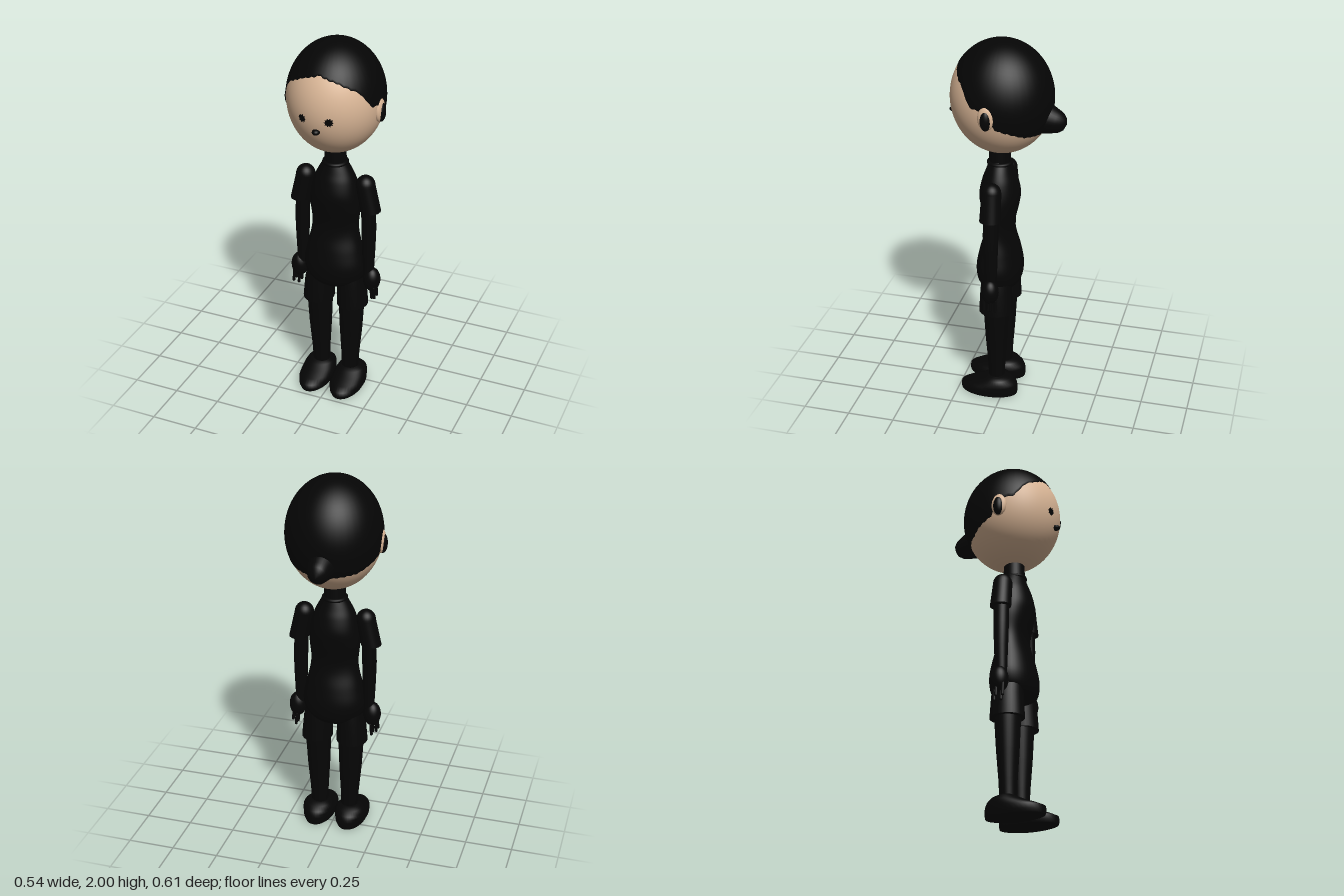
import * as THREE from 'three';

const black = new THREE.MeshStandardMaterial({ color: 0x050505 });
black.name = 'black';
const skin = new THREE.MeshStandardMaterial({ color: 0xdcb898 });
skin.name = 'skin';

// Head ellipsoid: centre and radii
const HC = new THREE.Vector3(0, 1.705, 0.027);
const HR = new THREE.Vector3(0.246, 0.293, 0.262);

// Closed rings of points, listed from top to bottom, joined into a smooth skin
function grid(rows, segs, point) {
  const pos = [], idx = [];
  for (let i = 0; i < rows; i++) {
    for (let j = 0; j < segs; j++) pos.push(...point(i, (j / segs) * Math.PI * 2));
  }
  for (let i = 0; i < rows - 1; i++) {
    for (let j = 0; j < segs; j++) {
      const a = i * segs + j, b = i * segs + ((j + 1) % segs);
      const c = a + segs, d = b + segs;
      idx.push(a, c, d, a, d, b);
    }
  }
  const g = new THREE.BufferGeometry();
  g.setAttribute('position', new THREE.Float32BufferAttribute(pos, 3));
  g.setIndex(idx);
  g.computeVertexNormals();
  return g;
}

// Elliptical cross-sections [y, cx, cz, rx, rz]; a repeated row makes a sharp edge
function loft(rows, segs = 32) {
  return grid(rows.length, segs, (i, a) => {
    const [y, cx, cz, rx, rz] = rows[i];
    return [cx + rx * Math.sin(a), y, cz + rz * Math.cos(a)];
  });
}

function add(parent, name, geometry, material, x = 0, y = 0, z = 0) {
  const m = new THREE.Mesh(geometry, material);
  m.name = name;
  m.position.set(x, y, z);
  parent.add(m);
  return m;
}

function ball(parent, name, material, x, y, z, rx, ry, rz) {
  const m = add(parent, name, new THREE.SphereGeometry(1, 32, 24), material, x, y, z);
  m.scale.set(rx, ry, rz);
  return m;
}

// Hairline height by angle from the front, in degrees
const hairline = [[0, 1.888], [25, 1.86], [51, 1.81], [60, 1.765], [67, 1.72], [82, 1.71],
  [90, 1.66], [96, 1.615], [132, 1.56], [180, 1.54]];

function hairGeometry() {
  const rows = 26, k = 1.012;
  return grid(rows, 128, (i, a) => {
    const deg = THREE.MathUtils.radToDeg(a > Math.PI ? Math.PI * 2 - a : a);
    let n = 1;
    while (n < hairline.length - 1 && hairline[n][0] < deg) n++;
    const [d0, y0] = hairline[n - 1], [d1, y1] = hairline[n];
    const y = THREE.MathUtils.mapLinear(deg, d0, d1, y0, y1) + 0.003 * Math.sin(deg * 0.7);
    const end = Math.acos((y - HC.y) / (HR.y * k));
    // The last row tucks the rim into the head
    const s = i === rows - 1 ? 0.985 : k;
    const t = end * Math.max(0.001, Math.min(1, i / (rows - 2)));
    return [HR.x * s * Math.sin(t) * Math.sin(a), HC.y + HR.y * s * Math.cos(t),
      HC.z + HR.z * s * Math.sin(t) * Math.cos(a)];
  });
}

// Small round eye with a spiky lash edge, laid on the face
function eye(parent, name, x, y) {
  const s = new THREE.Shape();
  for (let i = 0; i < 20; i++) {
    const r = i % 2 ? 0.017 : 0.025, a = (i / 20) * Math.PI * 2;
    s[i ? 'lineTo' : 'moveTo'](r * Math.cos(a), r * Math.sin(a));
  }
  const u = x / HR.x, v = (y - HC.y) / HR.y, w = Math.sqrt(1 - u * u - v * v);
  const normal = new THREE.Vector3(u / HR.x, v / HR.y, w / HR.z).normalize();
  const p = new THREE.Vector3(x, y, HC.z + w * HR.z).addScaledVector(normal, 0.003);
  const m = add(parent, name, new THREE.ShapeGeometry(s), black, p.x, p.y, p.z);
  m.lookAt(p.clone().add(normal));
}

function buildHead(g) {
  const head = add(g, 'head', new THREE.SphereGeometry(1, 64, 48), skin, HC.x, HC.y, HC.z);
  head.scale.copy(HR);
  add(g, 'hair', hairGeometry(), black);

  // Short ponytail at the back
  const profile = [[0.085, 0], [0.073, 0.045], [0.062, 0.075], [0.052, 0.1], [0.032, 0.121], [0, 0.13]];
  const tail = add(g, 'ponytail',
    new THREE.LatheGeometry(profile.map(p => new THREE.Vector2(...p)), 32), black, 0, 1.612, -0.178);
  tail.rotation.x = -Math.PI / 2 - 0.22;
  tail.scale.x = 0.92;

  eye(g, 'leftEye', 0.067, 1.672);
  eye(g, 'rightEye', -0.072, 1.672);
  ball(g, 'nose', black, 0, 1.61, 0.279, 0.02, 0.015, 0.022);
  for (const s of [1, -1]) {
    const side = s > 0 ? 'left' : 'right';
    ball(g, side + 'Ear', skin, s * 0.238, 1.675, 0.047, 0.022, 0.064, 0.042);
    ball(g, side + 'EarInner', black, s * 0.245, 1.665, 0.047, 0.025, 0.053, 0.028);
  }
}

function buildTorso(g) {
  add(g, 'neck', new THREE.CylinderGeometry(0.055, 0.058, 0.13, 32), black, 0, 1.37, 0.038);
  const collar = add(g, 'collar', new THREE.TorusGeometry(0.058, 0.01, 12, 40), black, 0, 1.345, 0.038);
  collar.rotation.x = Math.PI / 2;

  // Torso half widths [y, x, z], smoothed along the height
  const keys = [[1.36, 0.055, 0.052], [1.3, 0.09, 0.073], [1.25, 0.112, 0.091], [1.17, 0.13, 0.106],
    [1.1, 0.135, 0.096], [1.0, 0.127, 0.075], [0.94, 0.132, 0.08], [0.85, 0.153, 0.105],
    [0.75, 0.17, 0.122], [0.68, 0.15, 0.112], [0.635, 0.09, 0.07], [0.615, 0.001, 0.001]];
  const curve = new THREE.CatmullRomCurve3(keys.map(k => new THREE.Vector3(k[1], k[0], k[2])));
  add(g, 'torso', loft(curve.getPoints(60).map(p => [p.y, 0, 0.038, p.x, p.z]), 48), black);
}

function buildArm(g, s, side) {
  const z = 0.04;
  // Rounded shoulder running into a flared sleeve
  const sleeve = [];
  for (let i = 0; i <= 8; i++) {
    const a = (i / 8) * Math.PI / 2;
    sleeve.push([1.24 + 0.053 * Math.cos(a), s * 0.166, z, 0.05 * Math.sin(a) + 0.0005, 0.05 * Math.sin(a) + 0.0005]);
  }
  const hem = [1.1, s * 0.195, z, 0.053, 0.055];
  sleeve.push(hem, hem, [1.1, s * 0.195, z, 0.001, 0.001]);
  add(g, side + 'Sleeve', loft(sleeve), black);

  add(g, side + 'Arm', loft([
    [1.2, s * 0.178, z, 0.036, 0.04], [1.0, s * 0.187, z, 0.038, 0.04],
    [0.88, s * 0.187, z, 0.035, 0.036], [0.72, s * 0.187, z, 0.028, 0.03]]), black);
  ball(g, side + 'Hand', black, s * 0.206, 0.69, z, 0.046, 0.068, 0.046);

  // Fingers hang below the hand
  for (let i = 0; i < 4; i++) {
    const f = add(g, side + 'Finger', new THREE.CapsuleGeometry(0.008, 0.06, 4, 10), black,
      s * (i % 2 ? 0.23 : 0.208), i % 2 ? 0.625 : 0.61, z - 0.027 + i * 0.018);
    f.rotation.z = s * 0.08;
  }
}

function buildLeg(g, s, side) {
  const z = 0.037;
  const hem = [0.52, s * 0.097, z, 0.083, 0.09];
  add(g, side + 'ShortsLeg', loft([
    [0.74, s * 0.085, z, 0.06, 0.075], [0.64, s * 0.092, z, 0.077, 0.084],
    hem, hem, [0.52, s * 0.097, z, 0.001, 0.001]]), black);
  add(g, side + 'Leg', loft([
    [0.6, s * 0.092, z, 0.069, 0.068], [0.5, s * 0.091, z, 0.068, 0.066],
    [0.35, s * 0.089, z, 0.061, 0.058], [0.2, s * 0.086, z, 0.05, 0.047],
    [0.08, s * 0.084, z, 0.044, 0.042]]), black);

  // Shoe: tall at the ankle, sloping to a low toe, flat sole
  const x = s * 0.091;
  const shoe = (y, rx, front, back) => [y, x, (front + back) / 2, rx, (front - back) / 2];
  const sole = shoe(0.004, 0.08, 0.23, -0.077);
  add(g, side + 'Shoe', loft([
    shoe(0.117, 0.001, 0.038, 0.036), shoe(0.112, 0.055, 0.08, -0.01), shoe(0.1, 0.072, 0.105, -0.045),
    shoe(0.08, 0.083, 0.145, -0.068), shoe(0.062, 0.088, 0.195, -0.077), shoe(0.045, 0.09, 0.232, -0.08),
    shoe(0.02, 0.088, 0.235, -0.08), sole, sole, shoe(0, 0.07, 0.21, -0.06), shoe(0, 0.001, 0.08, 0.078)], 40), black);
}

export function createModel() {
  const model = new THREE.Group();
  model.name = 'figure';
  const part = name => {
    const g = new THREE.Group();
    g.name = name;
    model.add(g);
    return g;
  };
  buildHead(part('headGroup'));
  buildTorso(part('torsoGroup'));
  for (const s of [1, -1]) {
    const side = s > 0 ? 'left' : 'right';
    buildArm(part(side + 'ArmGroup'), s, side);
    buildLeg(part(side + 'LegGroup'), s, side);
  }
  return model;
}
